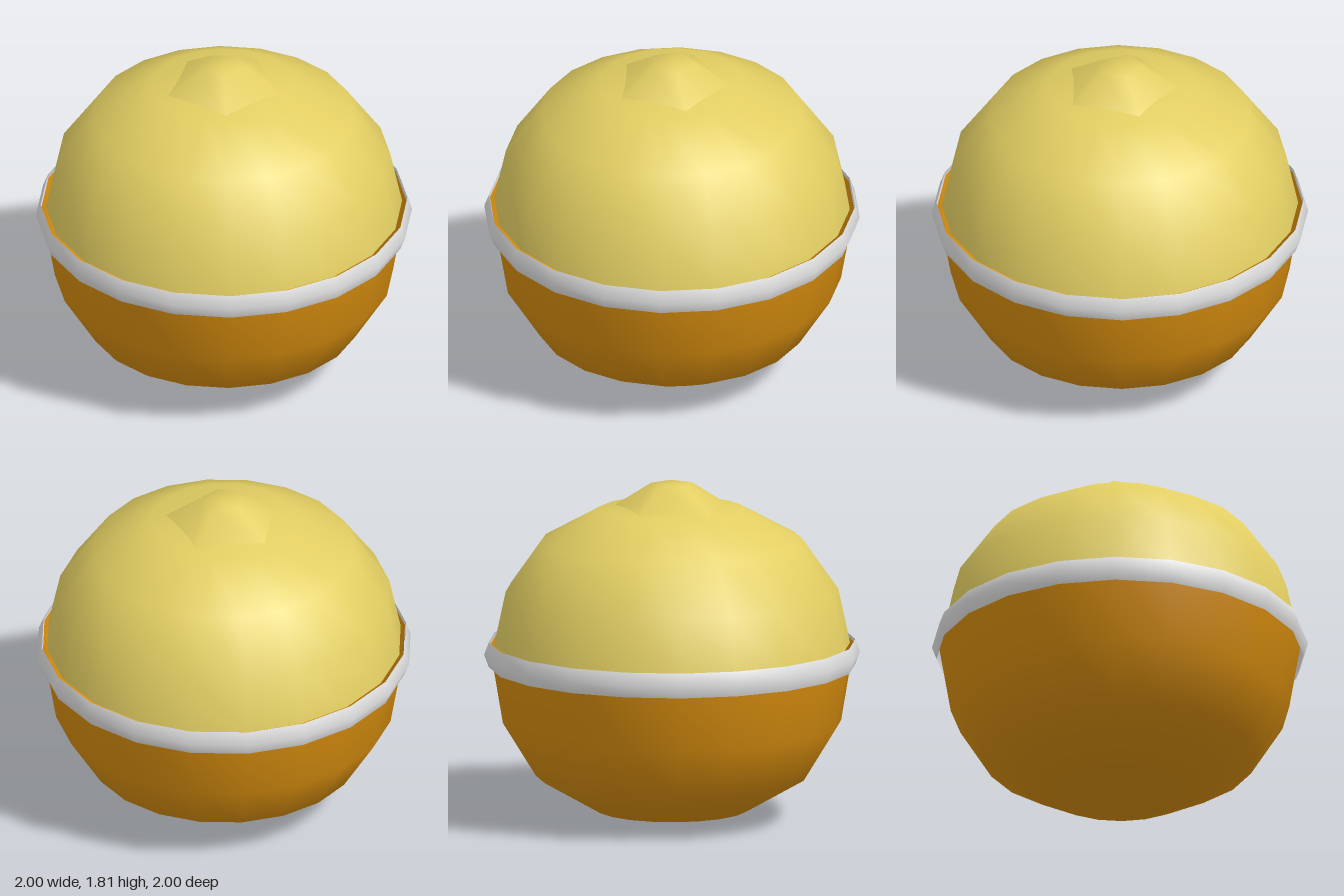
import * as THREE from 'three';

const material = (name, color, side = THREE.FrontSide) => {
  const m = new THREE.MeshStandardMaterial({ color, side });
  m.name = name;
  return m;
};

// Smooth turned part; profile points are [radius, height] from bottom to top
function turned(name, profile, sides, mat, start = 0) {
  const points = profile.map(([r, y]) => new THREE.Vector2(r, y));
  const mesh = new THREE.Mesh(new THREE.LatheGeometry(points, sides, start), mat);
  mesh.name = name;
  return mesh;
}

export function createModel() {
  const yellow = material('yellow', 0xe2ce62, THREE.DoubleSide);
  const orange = material('orange', 0xdb900f, THREE.DoubleSide);
  const white = material('white', 0xe2e2e2, THREE.DoubleSide);

  const group = new THREE.Group();
  group.name = 'bandedBall';

  group.add(
    // Open lower bowl, flaring up to the inside of the band
    turned('lowerBowl', [[0, 0.005], [0.405, 0.06], [0.725, 0.245], [0.9, 0.53], [0.97, 0.95]], 20, orange),
    // Upper dome, slightly narrower than the bowl's rim
    turned('upperDome', [[0.947, 0.95], [0.885, 1.24], [0.695, 1.51], [0.385, 1.68], [0, 1.715]], 20, yellow),
    // Ridged band around the middle
    turned('middleBand', [[0.975, 0.833], [1, 0.9], [0.975, 0.967]], 20, white),
    // Five-sided knob sunk into the dome, one corner to the back
    turned('topKnob', [[0.4, 1.63], [0.116, 1.815], [0, 1.815]], 5, yellow, Math.PI)
  );
  return group;
}
